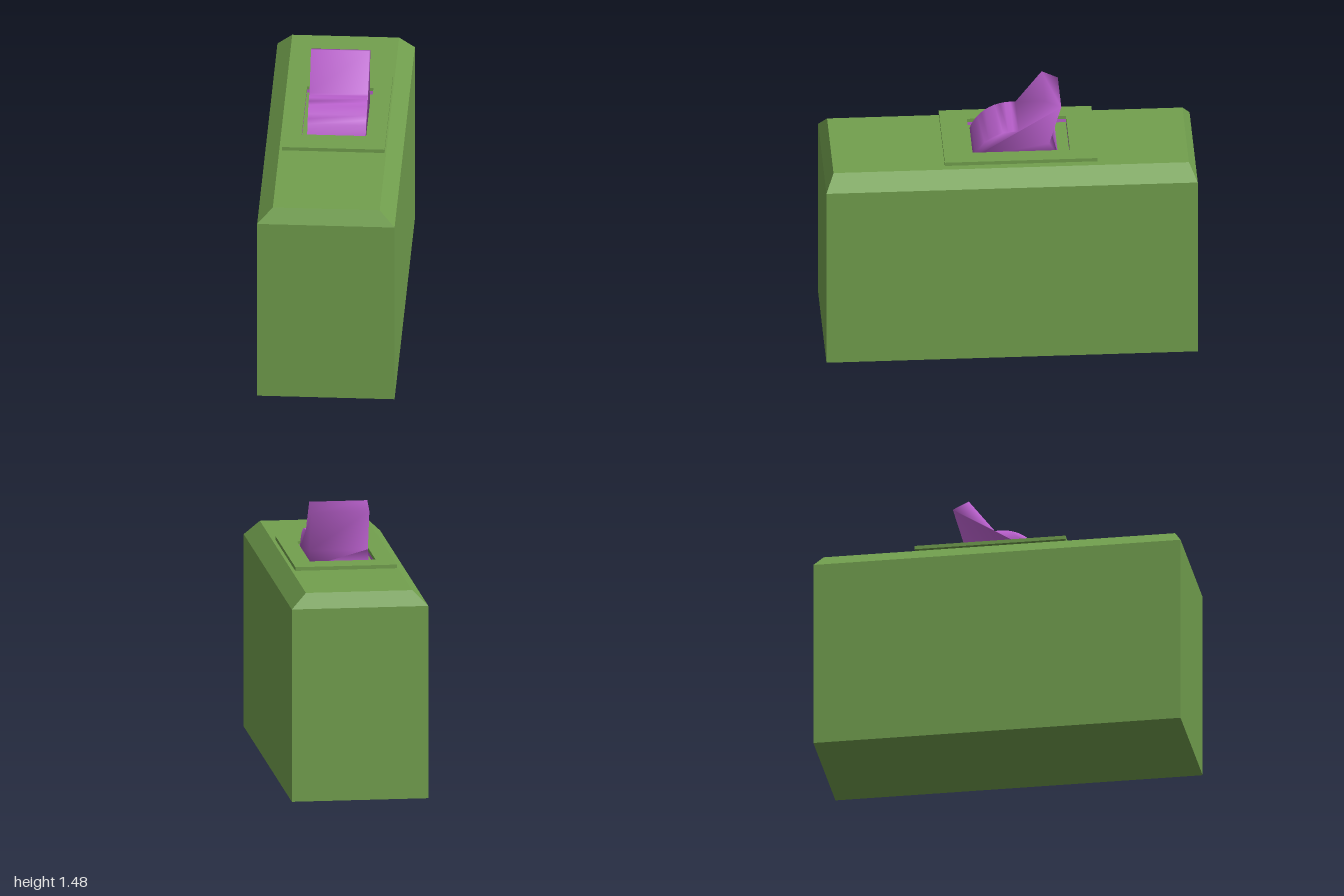
import * as THREE from 'three';
import { mergeVertices } from 'three/addons/utils/BufferGeometryUtils.js';

const green = new THREE.MeshStandardMaterial({ name: 'green', color: 0x72a04e });
const purple = new THREE.MeshStandardMaterial({ name: 'purple', color: 0xb85fcb });

function addMesh(group, name, geometry, material) {
  const mesh = new THREE.Mesh(geometry, material);
  mesh.name = name;
  group.add(mesh);
}

// Box whose upper row of vertices is drawn in to form the bevelled top
function bevelledBody() {
  let geo = new THREE.BoxGeometry(0.74, 2, 2, 1, 2, 1);
  const p = geo.attributes.position;
  for (let i = 0; i < p.count; i++) {
    const y = p.getY(i);
    if (y > 0.5) p.setXYZ(i, Math.sign(p.getX(i)) * 0.288, 1.136, Math.sign(p.getZ(i)) * 0.957);
    else p.setY(i, y < -0.5 ? 0 : 1.056);
  }
  geo = geo.toNonIndexed();
  geo.computeVertexNormals();
  return geo;
}

function rectangle(Type, x0, x1, z0, z1) {
  return new Type([[x0, -z1], [x1, -z1], [x1, -z0], [x0, -z0]].map(([x, y]) => new THREE.Vector2(x, y)));
}

// Flat rectangular frame around the switch opening, margins given per side
function frame(left, right, back, front, y, height) {
  const shape = rectangle(THREE.Shape, -0.173 - left, 0.184 + right, -0.322 - back, 0.211 + front);
  shape.holes.push(rectangle(THREE.Path, -0.173, 0.184, -0.322, 0.211));
  return new THREE.ExtrudeGeometry(shape, { depth: height, bevelEnabled: false })
    .rotateX(-Math.PI / 2).translate(0, y, 0);
}

// Side profile of the rocker and lever, extruded across x with soft edges
function switchLever() {
  const points = [];
  const r = 0.231, start = Math.asin(0.075 / r);
  for (let i = 0; i <= 10; i++) {
    const a = start + (Math.PI / 2 - start) * i / 10;
    points.push(new THREE.Vector2(-0.02 + r * Math.cos(a), 1.06 + r * Math.sin(a)));
  }
  for (const [z, y] of [[-0.048, 1.29], [-0.19, 1.475], [-0.277, 1.433], [-0.212, 1.21], [-0.26, 1.135]]) {
    points.push(new THREE.Vector2(z, y));
  }
  let geo = new THREE.ExtrudeGeometry(new THREE.Shape(points), { depth: 0.315, bevelEnabled: false });
  geo.rotateY(-Math.PI / 2).translate(0.17, 0, 0);
  geo.deleteAttribute('normal');
  geo.deleteAttribute('uv');
  geo = mergeVertices(geo);
  geo.computeVertexNormals();
  return geo;
}

export function createModel() {
  const model = new THREE.Group();
  model.name = 'switchBox';
  addMesh(model, 'body', bevelledBody(), green);
  addMesh(model, 'gasket', frame(0.003, 0.003, 0.003, 0.003, 1.136, 0.02), purple);
  addMesh(model, 'coverPlate', frame(0.097, 0.097, 0.143, 0.146, 1.155, 0.02), green);
  addMesh(model, 'switchLever', switchLever(), purple);
  return model;
}
